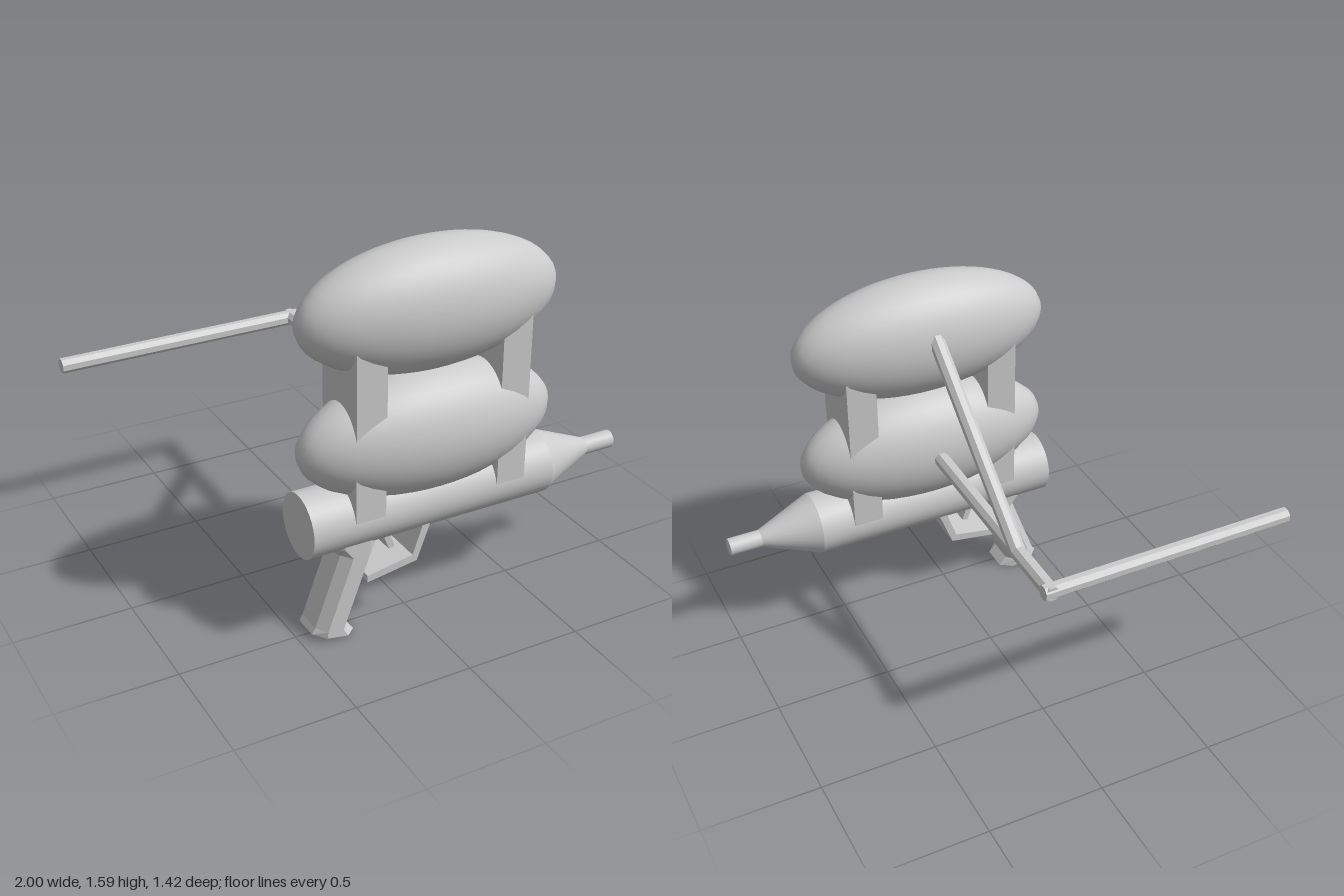
import * as THREE from 'three';

const Z = 0.5; // centre plane of the body
const smooth = new THREE.MeshStandardMaterial({ color: 0xcccccc });
const flat = new THREE.MeshStandardMaterial({ color: 0xcccccc, flatShading: true });

export function createModel() {
  const model = new THREE.Group();
  const add = (name, geometry, material = flat) => {
    const mesh = new THREE.Mesh(geometry, material);
    mesh.name = name;
    model.add(mesh);
    return mesh;
  };

  // Round section along x, from x0 (radius r0) to x1 (radius r1)
  const barrelPart = (name, x0, x1, r0, r1) => {
    const g = new THREE.CylinderGeometry(r1, r0, x1 - x0, 32).rotateZ(-Math.PI / 2);
    add(name, g, smooth).position.set((x0 + x1) / 2, 0.515, Z);
  };
  barrelPart('barrel', -0.48, 0.615, 0.135, 0.135);
  barrelPart('barrelCone', 0.615, 0.86, 0.135, 0.038);
  barrelPart('nozzle', 0.86, 1, 0.038, 0.038);

  // Two stacked tanks
  [['lowerTank', 0.81], ['upperTank', 1.333]].forEach(([name, y]) => {
    const tank = add(name, new THREE.SphereGeometry(1, 32, 24), smooth);
    tank.scale.set(0.565, 0.262, 0.205);
    tank.position.set(0.083, y, Z);
  });

  // Struts tying tanks and barrel together
  [['rearStrut', -0.235], ['frontStrut', 0.405]].forEach(([name, x]) => {
    add(name, new THREE.BoxGeometry(0.13, 0.77, 0.27)).position.set(x, 0.925, Z);
  });

  // Octagonal rods of the side frame
  const rod = (name, a, b) => {
    const from = new THREE.Vector3(...a), to = new THREE.Vector3(...b);
    const dir = to.clone().sub(from);
    const g = new THREE.CylinderGeometry(0.033, 0.033, dir.length(), 8).rotateY(Math.PI / 8);
    const mesh = add(name, g);
    mesh.position.copy(from).add(to).multiplyScalar(0.5);
    mesh.quaternion.setFromUnitVectors(new THREE.Vector3(0, 1, 0), dir.normalize());
  };
  rod('frameArm', [0.085, 0.817, 0.36], [0.085, 0.817, -0.705]);
  rod('frameBrace', [0.085, 1.43, 0.37], [0.085, 0.82, -0.41]);
  rod('frameHandle', [0.115, 0.817, -0.68], [-1, 0.817, -0.68]);

  // Grip: chamfered sections given as back x, back y, front x, front y
  const sections = [
    [-0.455, 0.035, -0.27, 0.003],
    [-0.44, 0.06, -0.302, 0.04],
    [-0.328, 0.365, -0.185, 0.355],
    [-0.385, 0.412, -0.16, 0.412],
    [-0.385, 0.44, -0.16, 0.44],
  ];
  const outline = [[0, -0.55], [0.25, -1], [0.75, -1], [1, -0.55], [1, 0.55], [0.75, 1], [0.25, 1], [0, 0.55]];
  const n = outline.length, points = [], index = [];
  sections.forEach(([x0, y0, x1, y1], i) => {
    outline.forEach(([t, w], j) => {
      points.push(x0 + (x1 - x0) * t, y0 + (y1 - y0) * t, Z + 0.1 * w);
      if (i < sections.length - 1) {
        const a = i * n + j, b = i * n + (j + 1) % n;
        index.push(a, a + n, b, b, a + n, b + n);
      }
    });
  });
  const top = (sections.length - 1) * n;
  for (let j = 1; j < n - 1; j++) {
    index.push(0, j, j + 1, top, top + j + 1, top + j);
  }
  const grip = new THREE.BufferGeometry();
  grip.setAttribute('position', new THREE.Float32BufferAttribute(points, 3));
  grip.setIndex(index);
  grip.computeVertexNormals();
  const gripMaterial = flat.clone();
  gripMaterial.side = THREE.DoubleSide;
  add('grip', grip, gripMaterial);

  // Side profile extruded across z
  const plate = (name, profile, width) => {
    const shape = new THREE.Shape(profile.map(([x, y]) => new THREE.Vector2(x, y)));
    const g = new THREE.ExtrudeGeometry(shape, { depth: width, bevelEnabled: false });
    add(name, g).position.z = Z - width / 2;
  };
  plate('triggerGuard', [[-0.23, 0.235], [-0.005, 0.27], [0.055, 0.43], [0.02, 0.43],
    [-0.025, 0.3], [-0.23, 0.265]], 0.2);
  plate('trigger', [[-0.145, 0.43], [-0.105, 0.325], [-0.08, 0.333], [-0.115, 0.43]], 0.1);

  return model;
}
